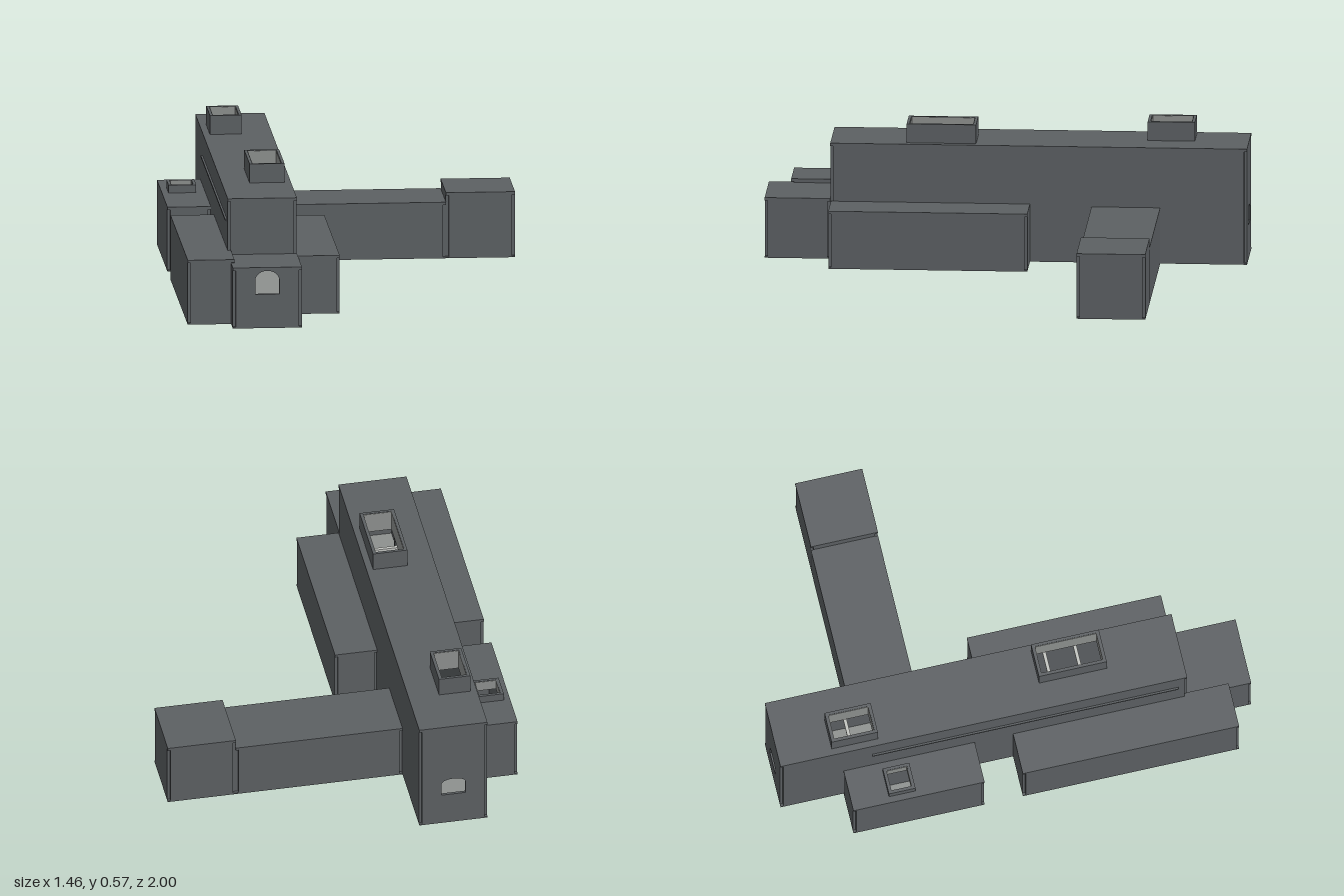
import * as THREE from 'three';

const T = 0.012; // wall and slab thickness
const slate = new THREE.MeshStandardMaterial({ color: 0x5c6063 });
const lining = new THREE.MeshStandardMaterial({ color: 0x8e918f });
const pale = new THREE.MeshStandardMaterial({ color: 0xc4c6c2 });
slate.name = 'slate';
lining.name = 'lining';
pale.name = 'pale';

function box(parent, name, mat, x0, x1, y0, y1, z0, z1) {
  const mesh = new THREE.Mesh(new THREE.BoxGeometry(x1 - x0, y1 - y0, z1 - z0), mat);
  mesh.position.set((x0 + x1) / 2, (y0 + y1) / 2, (z0 + z1) / 2);
  mesh.name = name;
  parent.add(mesh);
  return mesh;
}

function rect(Type, x0, x1, y0, y1) {
  return new Type([[x0, y0], [x1, y0], [x1, y1], [x0, y1]].map(p => new THREE.Vector2(...p)));
}

function plate(parent, name, shape, depth, mat = slate) {
  const mesh = new THREE.Mesh(
    new THREE.ExtrudeGeometry(shape, { depth, bevelEnabled: false, curveSegments: 12 }), mat);
  mesh.name = name;
  parent.add(mesh);
  return mesh;
}

// Arched opening, with its sill, springing line and crown
function arch(top) {
  const path = new THREE.Path();
  path.moveTo(-0.457, 0.143);
  path.lineTo(-0.357, 0.143);
  path.lineTo(-0.357, 0.2);
  path.absellipse(-0.407, 0.2, 0.05, top - 0.2, 0, Math.PI, false);
  path.closePath();
  return path;
}

// Roof with rectangular openings [x0, x1, z0, z1]
function roof(parent, x0, x1, z0, z1, h, holes) {
  const shape = rect(THREE.Shape, x0, x1, -z1, -z0);
  for (const [a, b, c, d] of holes) shape.holes.push(rect(THREE.Path, a + T, b - T, -d + T, -c - T));
  const mesh = plate(parent, 'roof', shape, T);
  mesh.rotation.x = -Math.PI / 2;
  mesh.position.y = h - T;
}

// Hollow block whose walls stop short of each other, leaving notched corners
function block(parent, name, [x0, x1, z0, z1, h], { holes = [], front = [], back = [] } = {}) {
  const g = new THREE.Group();
  g.name = name;
  parent.add(g);
  box(g, 'floorSlab', slate, x0, x1, 0, 0.006, z0, z1);
  box(g, 'innerFloor', lining, x0 + T, x1 - T, 0.006, 0.01, z0 + T, z1 - T);
  roof(g, x0, x1, z0, z1, h, holes);
  box(g, 'rightWall', slate, x0, x0 + T, 0.006, h - T, z0 + T, z1 - T);
  box(g, 'leftWall', slate, x1 - T, x1, 0.006, h - T, z0 + T, z1 - T);
  for (const [wall, z, cuts] of [['frontWall', z1 - T, front], ['backWall', z0, back]]) {
    const shape = rect(THREE.Shape, x0 + T, x1 - T, 0.006, h - T);
    shape.holes.push(...cuts);
    plate(g, wall, shape, T).position.z = z;
  }
  return g;
}

// Open-topped roof light: dark kerb outside, lighter lining inside
function skylight(parent, name, [x0, x1, z0, z1], y0, y1) {
  const g = new THREE.Group();
  g.name = name;
  parent.add(g);
  const ring = (part, inset, width, base, top, mat) => {
    const a = x0 + inset, b = x1 - inset, c = -z1 + inset, d = -z0 - inset;
    const shape = rect(THREE.Shape, a, b, c, d);
    shape.holes.push(rect(THREE.Path, a + width, b - width, c + width, d - width));
    const mesh = plate(g, part, shape, top - base, mat);
    mesh.rotation.x = -Math.PI / 2;
    mesh.position.y = base;
  };
  ring('kerb', 0, T, y0, y1, slate);
  ring('kerbLining', T, 0.002, y0 - T, y1 - 0.002, lining);
}

export function createModel() {
  const model = new THREE.Group();
  model.name = 'building';

  const largeLight = [-0.435, -0.29, 0.125, 0.413];
  const smallLight = [-0.522, -0.39, -0.776, -0.58];
  const annexLight = [-0.703, -0.588, -0.575, -0.462];

  // Tall hall and its low front porch, open to each other inside
  const passage = () => rect(THREE.Path, -0.5, -0.31, 0.03, 0.24);
  block(model, 'hall', [-0.55, -0.263, -1, 0.728, 0.492],
    { holes: [largeLight, smallLight], front: [passage()], back: [arch(0.222)] });
  block(model, 'porch', [-0.55, -0.263, 0.728, 1, 0.256],
    { front: [arch(0.242)], back: [passage()] });

  // Low side blocks
  block(model, 'frontRightAnnex', [-0.73, -0.536, -0.012, 0.907, 0.272]);
  block(model, 'backRightAnnex', [-0.73, -0.55, -0.732, -0.175, 0.272], { holes: [annexLight] });
  block(model, 'leftAnnex', [-0.263, -0.085, -0.1, 0.725, 0.245]);

  // Long wing with a raised end
  block(model, 'wing', [-0.263, 0.44, -0.64, -0.355, 0.237]);
  block(model, 'wingEnd', [0.44, 0.727, -0.64, -0.355, 0.277]);

  // Roof lights
  skylight(model, 'largeSkylight', largeLight, 0.492, 0.572);
  skylight(model, 'smallSkylight', smallLight, 0.492, 0.572);
  skylight(model, 'annexSkylight', annexLight, 0.272, 0.305);

  // Ceiling beams seen through the roof lights
  for (const z of [-0.69, 0.18, 0.31]) {
    box(model, 'ceilingBeam', pale, -0.538, -0.275, 0.44, 0.455, z - 0.007, z + 0.007);
  }

  // Narrow ledge along the hall
  box(model, 'sideLedge', slate, -0.558, -0.55, 0.39, 0.398, -0.61, 0.69);

  return model;
}
